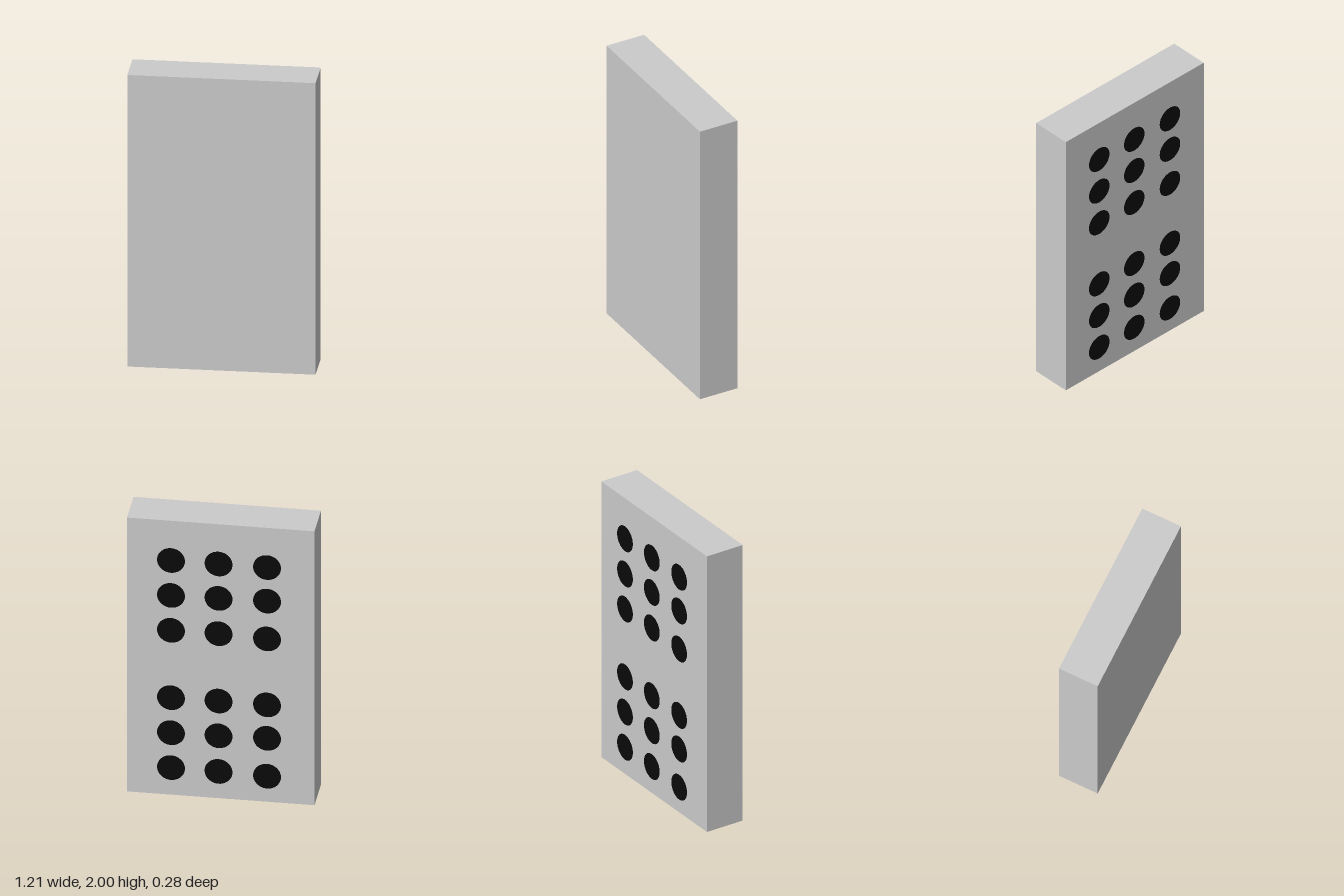
import * as THREE from 'three';

export function createModel() {
  const model = new THREE.Group();
  const grey = new THREE.MeshStandardMaterial({ color: 0xcccccc });
  const black = new THREE.MeshStandardMaterial({ color: 0x0a0a0a, side: THREE.DoubleSide });

  // Solid slab
  const slab = new THREE.Mesh(new THREE.BoxGeometry(1.21, 2, 0.275), grey);
  slab.name = 'slab';
  slab.position.set(0, 1, 0.0045);
  model.add(slab);

  // Two blocks of three by three flat discs, just off the back face
  const columns = [
    { x: 0.32, rows: [1.715, 1.46, 1.205, 0.713, 0.457, 0.202] },
    { x: 0.013, rows: [1.715, 1.464, 1.206, 0.714, 0.46, 0.2] },
    { x: -0.3, rows: [1.715, 1.47, 1.194, 0.712, 0.468, 0.191] },
  ];
  const discs = new THREE.Group();
  discs.name = 'backDiscs';
  const discGeometry = new THREE.CircleGeometry(0.09, 40).rotateY(Math.PI);
  for (const { x, rows } of columns) {
    for (const y of rows) {
      const disc = new THREE.Mesh(discGeometry, black);
      disc.name = 'disc';
      disc.position.set(x, y, -0.142);
      discs.add(disc);
    }
  }
  model.add(discs);
  return model;
}
